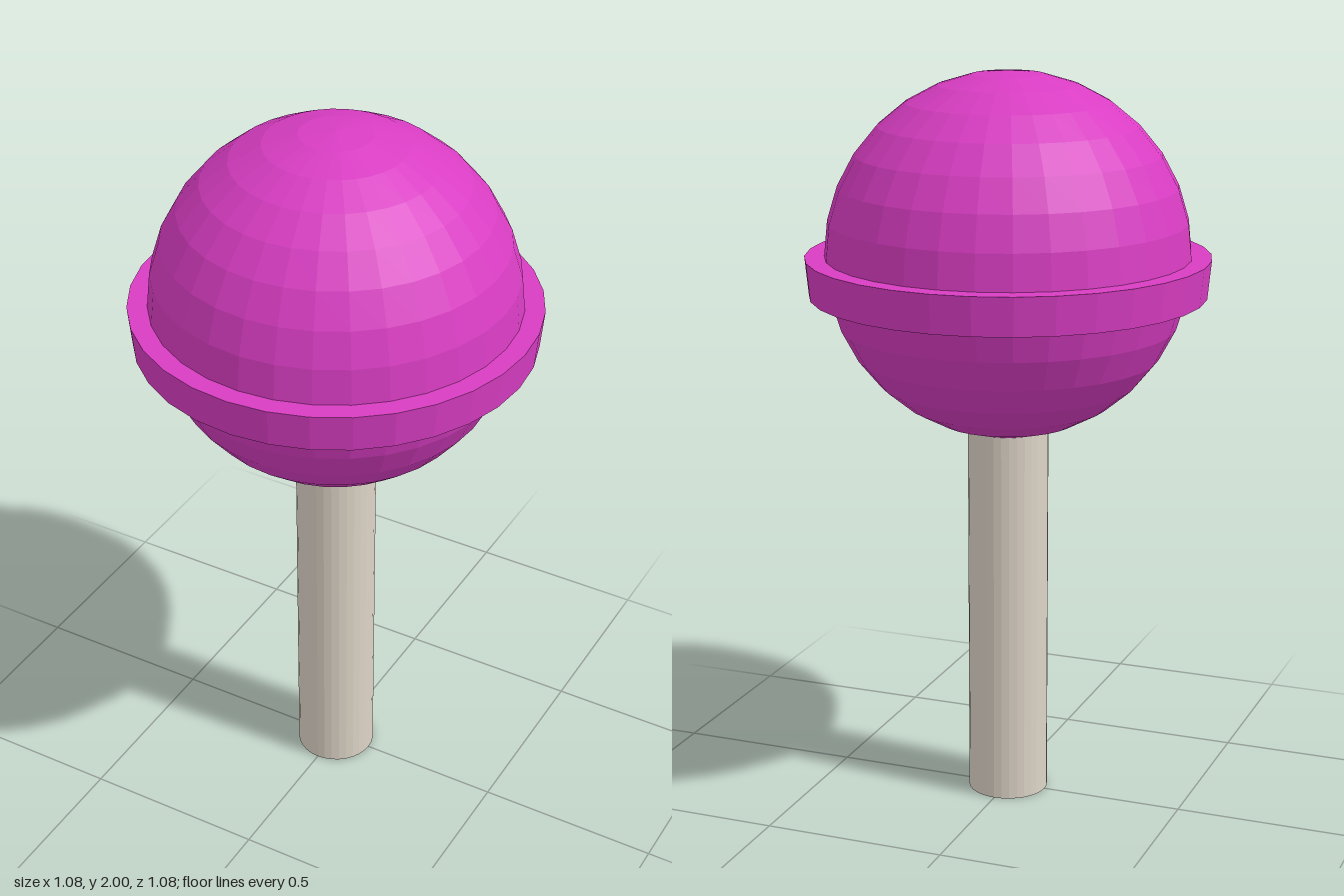
import * as THREE from 'three';

const SIDES = 32;
const CENTER_Y = 1.513;
const RADIUS = 0.487;

export function createModel() {
  const group = new THREE.Group();
  const candy = new THREE.MeshStandardMaterial({ color: 0xd93dc3, flatShading: true });
  const paper = new THREE.MeshStandardMaterial({ color: 0xddd4c7, flatShading: true });

  const add = (name, geometry, material, y) => {
    const mesh = new THREE.Mesh(geometry, material);
    mesh.name = name;
    mesh.position.y = y;
    group.add(mesh);
  };

  // Faceted candy ball
  add('candyBall', new THREE.SphereGeometry(RADIUS, SIDES, 16), candy, CENTER_Y);

  // Slightly tapered band hanging below the equator
  const bandHeight = 0.103;
  add('candyBand', new THREE.CylinderGeometry(0.54, 0.53, bandHeight, SIDES), candy, CENTER_Y - bandHeight / 2);

  // Straight stick, ending just inside the ball
  const stickHeight = 1.08;
  add('stick', new THREE.CylinderGeometry(0.109, 0.109, stickHeight, SIDES), paper, stickHeight / 2);

  return group;
}
